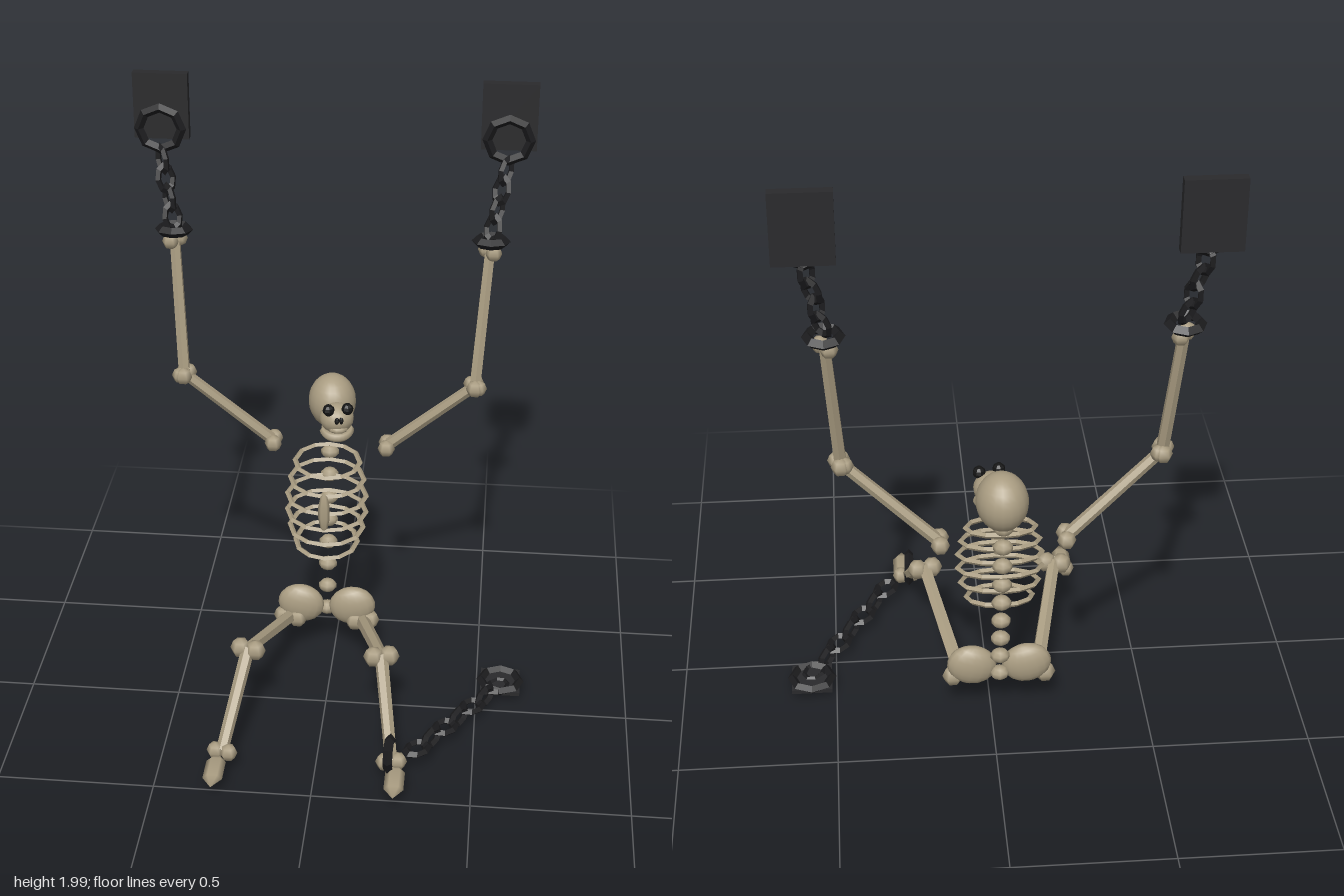
import * as THREE from 'three';

const mat = (name, color, flatShading = false) => {
  const m = new THREE.MeshStandardMaterial({ color, flatShading, side: THREE.DoubleSide });
  m.name = name;
  return m;
};
const V = (x, y, z) => new THREE.Vector3(x, y, z);
const CX = -0.025; // the skeleton's own centre line

export function createModel() {
  const root = new THREE.Group();
  root.name = 'chainedSkeleton';
  const bone = mat('bone', 0xaa9d82);
  const iron = mat('iron', 0x1c1c1e, true);
  const plateIron = mat('plateIron', 0x2a2a2c, true);
  const dark = mat('socketBlack', 0x141414, true);
  const boneFlat = bone.clone();
  boneFlat.flatShading = true;

  const add = (name, geo, material, pos, parent = root) => {
    const m = new THREE.Mesh(geo, material);
    m.name = name;
    m.position.copy(pos);
    parent.add(m);
    return m;
  };
  const ball = (name, pos, size, material = bone, parent = root, w = 16, h = 10) => {
    const m = add(name, new THREE.SphereGeometry(1, w, h), material, pos, parent);
    m.scale.set(...size);
    return m;
  };

  // Long bone: six-sided shaft with a pair of knobs at each end
  const UP = V(0, 1, 0);
  const longBone = (name, a, b, r, knob, axis) => {
    const g = new THREE.Group();
    g.name = name;
    root.add(g);
    const d = b.clone().sub(a);
    const shaft = add('shaft', new THREE.CylinderGeometry(r * 0.9, r, d.length(), 6), boneFlat,
      a.clone().lerp(b, 0.5), g);
    shaft.quaternion.setFromUnitVectors(UP, d.normalize());
    for (const end of [a, b]) for (const s of [-1, 1])
      ball('knob', end.clone().addScaledVector(axis, s * knob * 0.75), [knob, knob, knob], bone, g, 6, 4);
  };

  // Chain of oval links, each turned a quarter against the last
  const chain = (name, a, b, count, scale, startRoll) => {
    const g = new THREE.Group();
    g.name = name;
    root.add(g);
    const dir = b.clone().sub(a).normalize();
    const side = V(dir.z, 0, -dir.x).normalize();
    const third = side.clone().cross(dir);
    const basis = new THREE.Matrix4().makeBasis(side, dir, third);
    for (let i = 0; i < count; i++) {
      const link = add('link', new THREE.TorusGeometry(0.03, 0.0115, 4, 8), iron, a.clone().lerp(b, i / (count - 1)), g);
      link.quaternion.setFromRotationMatrix(basis);
      link.rotateY(((i + startRoll) % 2) * Math.PI / 2);
      link.scale.set(scale, scale * 1.42, scale);
    }
  };
  const ring = (name, pos, R, tube, normal) => {
    const m = add(name, new THREE.TorusGeometry(R, tube, 4, 8), iron, pos);
    m.quaternion.setFromUnitVectors(V(0, 0, 1), normal.normalize());
    return m;
  };

  // Arms, legs and wall fixings on both sides
  for (const s of [-1, 1]) {
    const side = s > 0 ? 'left' : 'right';
    const P = (x, y, z) => V(CX + s * x, y, z);
    const shoulder = P(0.19, 0.772, -0.408), elbow = P(0.477, 1.035, -0.36), wrist = P(0.506, 1.475, -0.443);
    longBone(side + 'UpperArm', shoulder, elbow, 0.02, 0.029, V(0, 0, 1));
    longBone(side + 'Forearm', elbow, wrist, 0.02, 0.027, V(s * 0.6, 0, 0.8));
    const hip = P(0.124, 0.155, -0.275), knee = P(0.217, 0.29, 0.125), ankle = P(0.27, 0.075, 0.39);
    longBone(side + 'Thigh', hip, knee, 0.024, 0.034, V(s * 0.97, 0, -0.22));
    longBone(side + 'Shin', knee, ankle, 0.022, 0.029, V(s * 0.98, 0, -0.19));
    const foot = ball(side + 'Foot', P(0.285, 0.056, 0.463), [0.036, 0.086, 0.019], bone, root, 6, 3);
    foot.rotation.x = Math.PI / 2;
    ball(side + 'HipBlade', P(0.088, 0.203, -0.29), [0.08, 0.071, 0.038]).rotation.z = s * 0.25;

    add(side + 'WallPlate', new THREE.BoxGeometry(0.175, 0.215, 0.03), plateIron, P(0.55, 1.8925, -0.54));
    ring(side + 'WallRing', P(0.55, 1.828, -0.499), 0.068, 0.0155, V(0, 0, 1));
    chain(side + 'WristChain', P(0.545, 1.73, -0.49), P(0.512, 1.55, -0.448), 4, 0.9, 1);
    ring(side + 'WristShackle', P(0.508, 1.51, -0.445), 0.045, 0.017, V(0, 1, -0.1));
  }

  // Ankle shackle, floor chain and floor anchor
  ring('ankleShackle', V(0.238, 0.105, 0.39), 0.049, 0.015, V(1, 0, 0.05));
  chain('ankleChain', V(0.323, 0.073, 0.314), V(0.572, 0.042, -0.088), 7, 1, 0);
  ring('floorRing', V(0.58, 0.045, -0.12), 0.065, 0.015, V(0, 1, 0));
  add('floorPlate', new THREE.BoxGeometry(0.132, 0.014, 0.132), plateIron, V(0.58, 0.038, -0.12));

  // Spine
  for (let i = 0; i < 9; i++) {
    const t = i / 8;
    ball('vertebra', V(CX, 0.82 - 0.64 * t, -0.422 + 0.115 * t), [0.032, 0.024, 0.028], bone, root, 8, 5);
  }

  // Ribs: closed hoops dipping toward the front
  const halfWidths = [0.108, 0.123, 0.132, 0.132, 0.123, 0.104];
  const halfDepths = [0.08, 0.087, 0.092, 0.093, 0.09, 0.085];
  halfWidths.forEach((w, i) => {
    const y = 0.753 - 0.057 * i, d = halfDepths[i];
    const pts = [];
    for (let k = 0; k < 12; k++) {
      const a = k / 12 * Math.PI * 2;
      pts.push(V(w * Math.cos(a), -0.26 * d * Math.sin(a), d * Math.sin(a)));
    }
    const hoop = new THREE.TubeGeometry(new THREE.CatmullRomCurve3(pts, true), 12, 0.009, 4, true);
    add('rib', hoop, boneFlat, V(CX, y, -0.397 + 0.006 * i + d));
  });
  ball('sternum', V(CX, 0.627, -0.192), [0.02, 0.074, 0.012], bone, root, 6, 5);

  // Skull, turned slightly to its left
  const head = new THREE.Group();
  head.name = 'skull';
  head.position.set(-0.02, 0.923, -0.43);
  head.rotation.y = 0.24;
  root.add(head);
  ball('cranium', V(0, 0, 0), [0.079, 0.093, 0.086], bone, head, 20, 14);
  ball('face', V(0, -0.014, 0.097), [0.057, 0.05, 0.057], bone, head);
  const jaw = add('jaw', new THREE.TorusGeometry(0.042, 0.015, 6, 12, Math.PI), bone, V(0, -0.058, 0.1), head);
  jaw.rotation.x = Math.PI / 2 + 0.2;
  ball('upperTeeth', V(0, -0.037, 0.129), [0.034, 0.014, 0.03], bone, head, 10, 6);
  for (const s of [-1, 1]) {
    ball('eyeSocket', V(s * 0.031, 0.03, 0.126), [0.02, 0.02, 0.021], dark, head, 8, 6);
    ball('nostril', V(s * 0.007, 0, 0.15), [0.008, 0.013, 0.008], dark, head, 6, 4);
  }
  return root;
}
